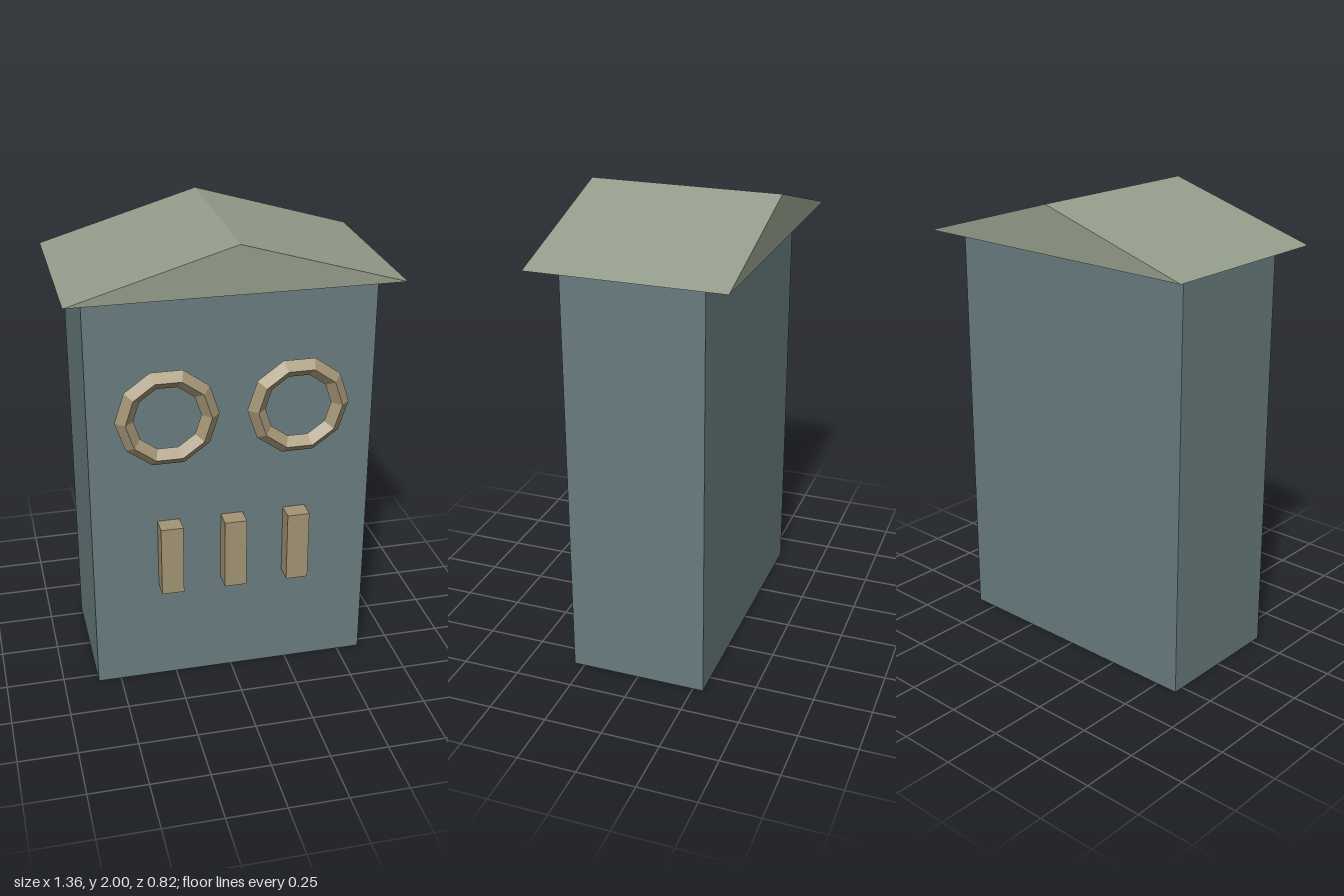
import * as THREE from 'three';

const slate = new THREE.MeshStandardMaterial({ color: 0x697c7f });
slate.name = 'slate';
const sage = new THREE.MeshStandardMaterial({ color: 0x949d8a });
sage.name = 'sage';
const tan = new THREE.MeshStandardMaterial({ color: 0xa29475 });
tan.name = 'tan';
tan.flatShading = true;

export function createModel() {
  const model = new THREE.Group();
  model.name = 'gabledBox';

  const add = (name, geometry, material, x, y, z) => {
    const mesh = new THREE.Mesh(geometry, material);
    mesh.name = name;
    mesh.position.set(x, y, z);
    model.add(mesh);
  };

  // Tall body
  const height = 1.785, depth = 0.59, front = depth / 2;
  add('body', new THREE.BoxGeometry(1.2, height, depth), slate, 0, height / 2, 0);

  // Gabled roof, floating just above the body
  const gable = new THREE.Shape([
    new THREE.Vector2(-0.68, 0),
    new THREE.Vector2(0.68, 0),
    new THREE.Vector2(0, 0.2),
  ]);
  const roof = new THREE.ExtrudeGeometry(gable, { depth: 0.82, bevelEnabled: false });
  add('roof', roof, sage, 0, 1.8, -0.41);

  // Ten-sided rings with a diamond section
  const ring = new THREE.TorusGeometry(0.178, 0.038, 4, 10);
  add('leftRing', ring, tan, 0.274, 1.265, 0.318);
  add('rightRing', ring, tan, -0.274, 1.265, 0.318);

  // Three upright bars, set slightly into the front
  const bar = new THREE.BoxGeometry(0.095, 0.313, 0.1);
  ['rightBar', 'middleBar', 'leftBar'].forEach((name, i) =>
    add(name, bar, tan, (i - 1) * 0.273, 0.623, front + 0.03));

  return model;
}
